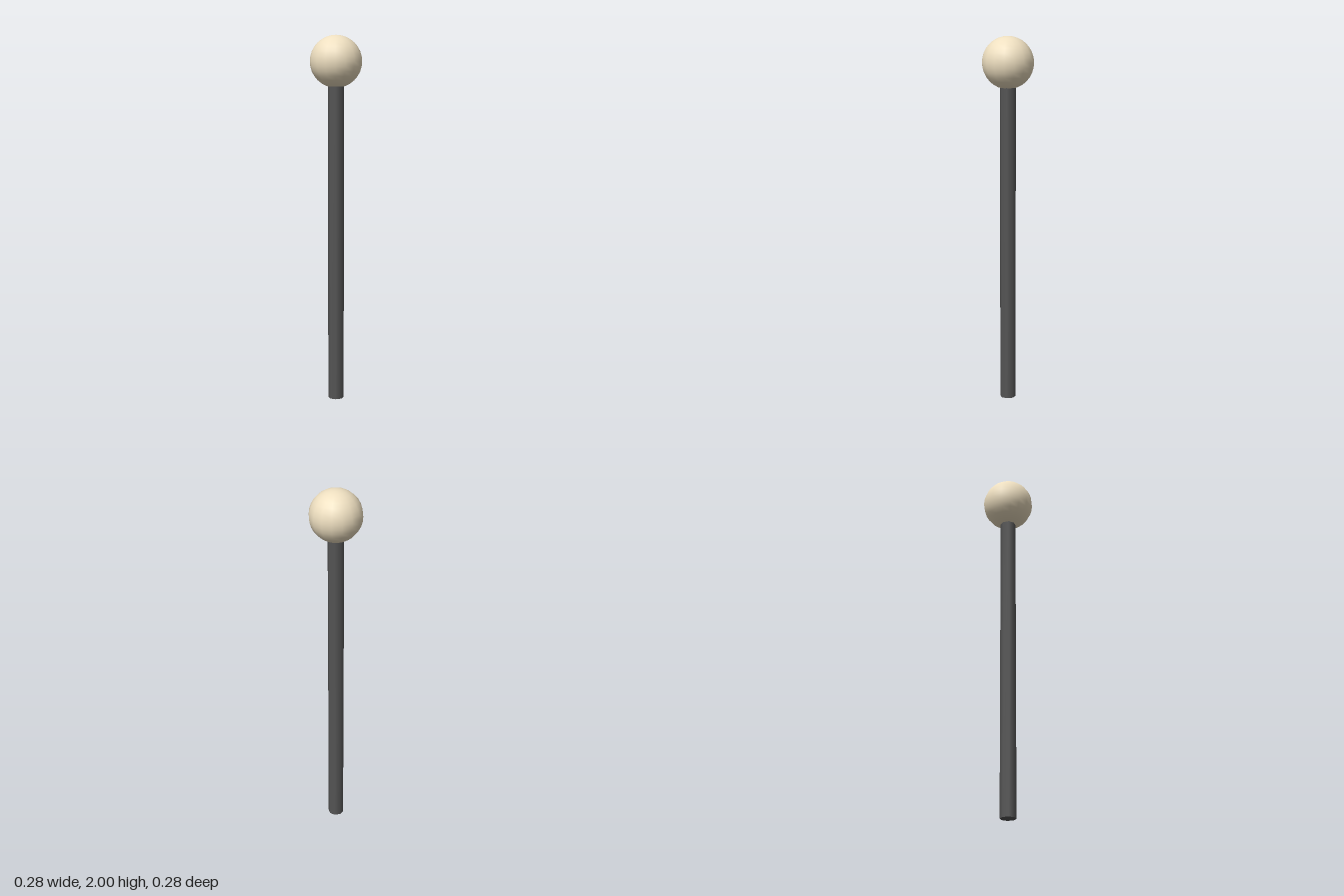
import * as THREE from 'three';

const HEIGHT = 2;
const HEAD_RADIUS = 0.14;
const SHAFT_RADIUS = 0.043;
const HEAD_Y = HEIGHT - HEAD_RADIUS;

function part(name, geometry, color, y) {
  const mesh = new THREE.Mesh(geometry, new THREE.MeshStandardMaterial({ color }));
  mesh.name = name;
  mesh.position.y = y;
  return mesh;
}

export function createModel() {
  const model = new THREE.Group();
  model.name = 'mallet';

  // Straight shaft, its top end set just inside the head
  const shaftLength = HEAD_Y - HEAD_RADIUS + 0.02;
  const shaft = new THREE.CylinderGeometry(SHAFT_RADIUS, SHAFT_RADIUS, shaftLength, 8);
  model.add(part('shaft', shaft, 0x555555, shaftLength / 2));

  // Round head
  const head = new THREE.SphereGeometry(HEAD_RADIUS, 16, 16);
  model.add(part('head', head, 0xeedfc0, HEAD_Y));

  return model;
}
